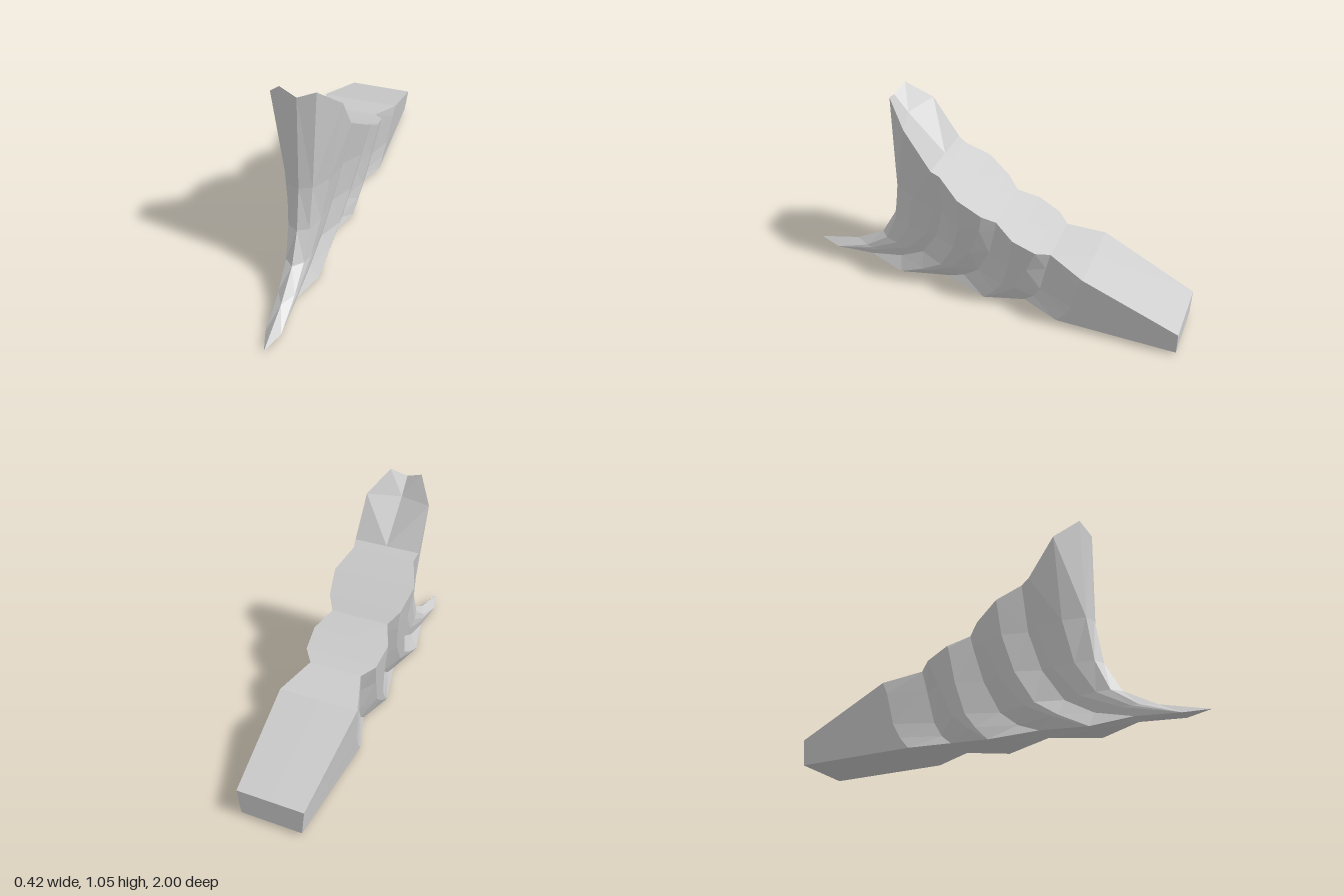
import * as THREE from 'three';

// Vertical ribs of the +x half, from front to tail:
// bottom x, y, z then top x, y, z. The ribs of one bulge meet at its foot.
const RIBS = [
  [0, 0.02, 1.0, 0, 1.02, 0.493],
  [0.037, 0.012, 0.88, 0.082, 1.05, 0.475],
  [0.037, 0.012, 0.88, 0.165, 0.945, 0.37],
  [0.037, 0.012, 0.88, 0.168, 0.75, 0.24],
  [0.038, 0.03, 0.67, 0.16, 0.725, 0.2],
  [0.085, 0, 0.48, 0.21, 0.65, 0.09],
  [0.085, 0, 0.48, 0.187, 0.57, -0.02],
  [0.056, 0.03, 0.23, 0.145, 0.525, -0.08],
  [0.115, 0.005, 0, 0.192, 0.475, -0.18],
  [0.115, 0.005, 0, 0.18, 0.425, -0.29],
  [0.08, 0.03, -0.21, 0.13, 0.4, -0.35],
  [0.15, 0.015, -0.4, 0.195, 0.35, -0.53],
  [0.15, 0.015, -1, 0.165, 0.14, -1],
  [0, 0.015, -1, 0, 0.14, -1],
];
// Row heights and backward sweep, at the prow and along the flanks
const PROW = { y: [0.08, 0.17, 0.32, 0.54], f: [0.45, 0.76, 0.92, 0.99] };
const FLANK = { y: [0.07, 0.14, 0.295, 0.465], f: [0.33, 0.6, 0.83, 0.965] };

// One rib as six points, swept back as it rises; short ribs collapse at their top
function ribPoints([xb, yb, zb, xt, yt, zt], i) {
  const k = THREE.MathUtils.clamp((i - 1) / 5, 0, 1);
  const mix = THREE.MathUtils.lerp;
  const pts = [new THREE.Vector3(xb, yb, zb)];
  for (let r = 0; r < 4; r++) {
    const y = mix(PROW.y[r], FLANK.y[r], k);
    if (y >= yt) { pts.push(new THREE.Vector3(xt, yt, zt)); continue; }
    const z = mix(zb, zt, mix(PROW.f[r], FLANK.f[r], k));
    pts.push(new THREE.Vector3(mix(xb, xt, (y - yb) / (yt - yb)), y, z));
  }
  pts.push(new THREE.Vector3(xt, yt, zt));
  return pts;
}

// Collects quads with their mirror images, split along the shorter diagonal
function buildMesh(name, material, fill) {
  const out = [];
  const tri = (a, b, c) => {
    const area = b.clone().sub(a).cross(c.clone().sub(a)).length();
    if (area < 1e-7) return;
    for (const p of [a, b, c]) out.push(p.x, p.y, p.z);
    for (const p of [a, c, b]) out.push(-p.x, p.y, p.z);
  };
  fill((a, b, c, d) => {
    if (a.distanceTo(c) <= b.distanceTo(d)) { tri(a, b, c); tri(a, c, d); }
    else { tri(a, b, d); tri(b, c, d); }
  });
  const geo = new THREE.BufferGeometry();
  geo.setAttribute('position', new THREE.Float32BufferAttribute(out, 3));
  geo.computeVertexNormals();
  const mesh = new THREE.Mesh(geo, material);
  mesh.name = name;
  return mesh;
}

export function createModel() {
  const group = new THREE.Group();
  group.name = 'rockSpur';
  const grey = new THREE.MeshStandardMaterial({ color: 0xcccccc, flatShading: true });
  grey.name = 'paleGrey';

  const ribs = RIBS.map(ribPoints);
  const last = ribs.length - 1;

  // Scalloped side walls, prow and tail face
  group.add(buildMesh('ribbedWalls', grey, (quad) => {
    for (let i = 0; i < last; i++)
      for (let r = 0; r < 5; r++)
        quad(ribs[i][r], ribs[i + 1][r], ribs[i + 1][r + 1], ribs[i][r + 1]);
  }));

  // Sloping top, with a groove running back between the two peaks
  const topMid = ribs.map((rib) => new THREE.Vector3(0, rib[5].y, rib[5].z));
  topMid[1].copy(topMid[0]);
  topMid[2].set(0, 0.938, 0.425);
  group.add(buildMesh('slopingTop', grey, (quad) => {
    for (let i = 0; i < last; i++)
      quad(topMid[i], ribs[i][5], ribs[i + 1][5], topMid[i + 1]);
  }));

  // Underside, level along the middle and scalloped at the rim
  const baseMid = ribs.map((rib, i) =>
    new THREE.Vector3(0, i === 0 ? rib[0].y : 0.015, rib[0].z));
  group.add(buildMesh('underside', grey, (quad) => {
    for (let i = 0; i < last; i++)
      quad(baseMid[i + 1], ribs[i + 1][0], ribs[i][0], baseMid[i]);
  }));
  return group;
}
